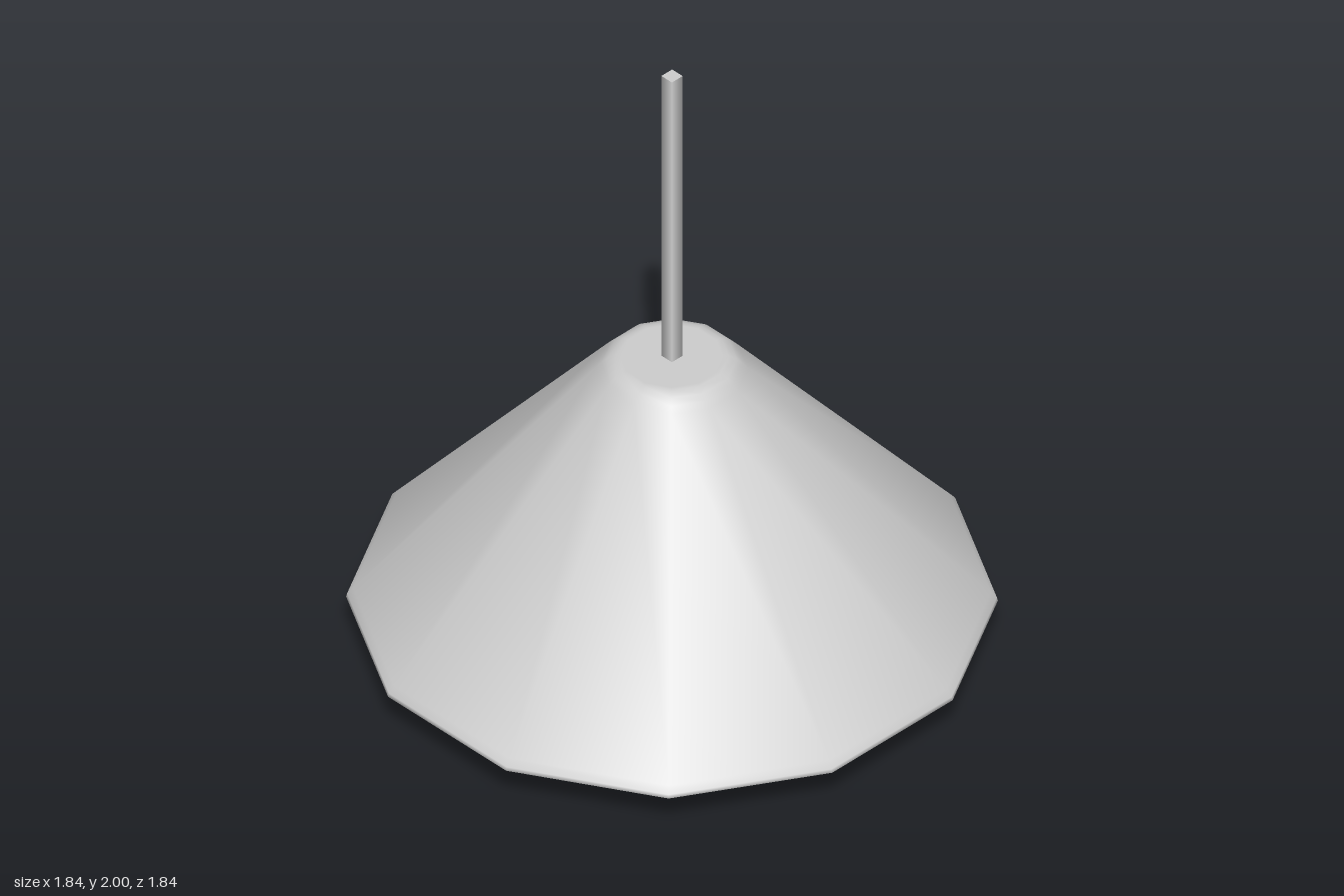
import * as THREE from 'three';

export function createModel() {
  const lamp = new THREE.Group();
  lamp.name = 'pendantLamp';
  const grey = new THREE.MeshStandardMaterial({ color: 0xcccccc });
  grey.name = 'light grey';

  const add = (name, geometry, y = 0) => {
    const mesh = new THREE.Mesh(geometry, grey);
    mesh.name = name;
    mesh.position.y = y;
    lamp.add(mesh);
  };

  // Twelve-sided closed shade; close rings keep the caps flat and the rims softly bevelled
  const profile = [
    [0, 0.125], [0.89, 0.125], [0.91, 0.125], [0.92, 0.132], [0.917, 0.143], [0.9, 0.163],
    [0.215, 0.957], [0.2, 0.974], [0.183, 0.99], [0.16, 1], [0.145, 1], [0, 1],
  ].map(([r, y]) => new THREE.Vector2(r, y));
  add('shade', new THREE.LatheGeometry(profile, 12));

  // Low-poly bulb poking out of the underside
  add('bulb', new THREE.SphereGeometry(0.26, 8, 6), 0.26);

  // Thin four-sided hanging rod
  add('rod', new THREE.CylinderGeometry(0.03, 0.03, 1.02, 4), 1.49);

  return lamp;
}
